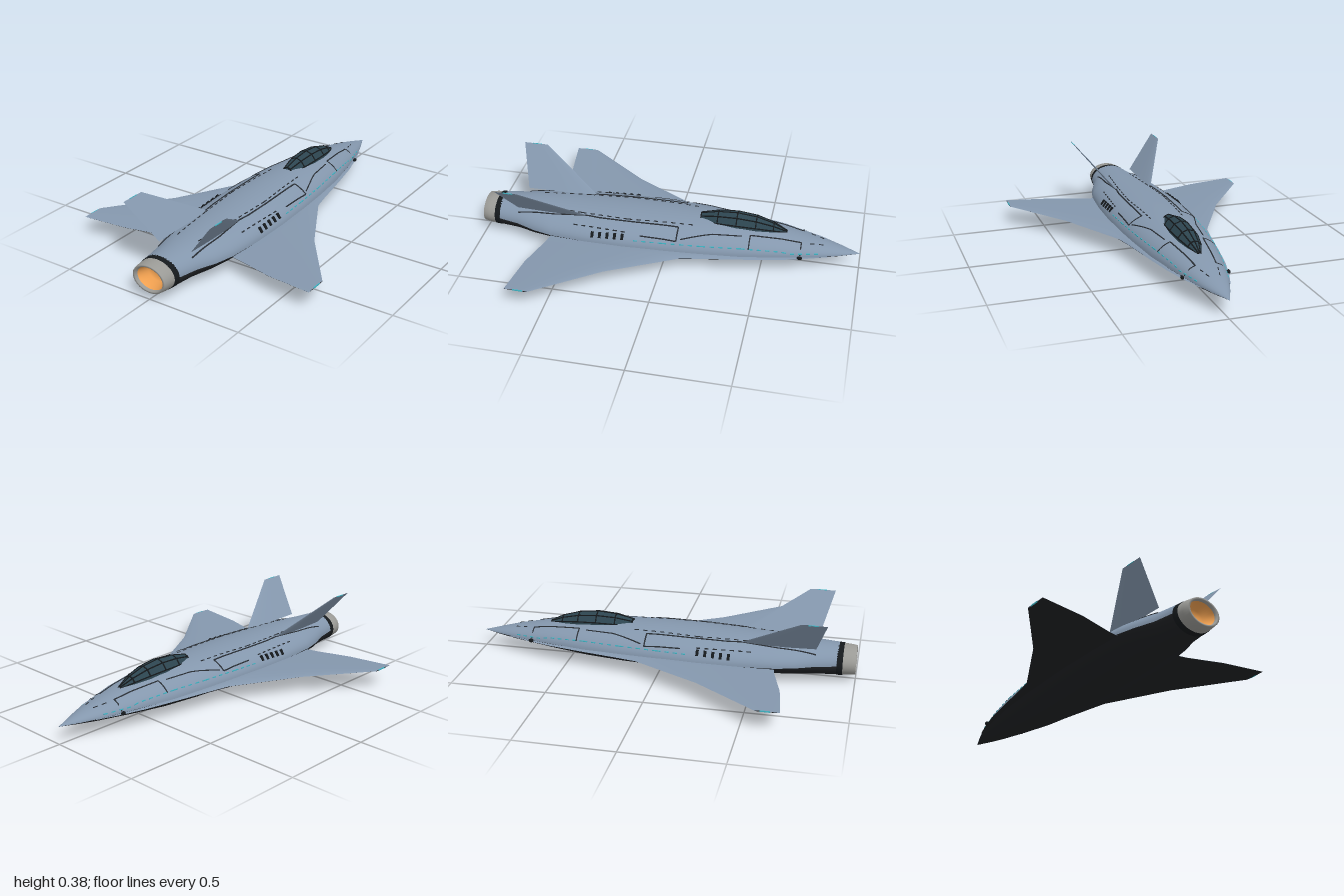
import * as THREE from 'three';
import { mergeGeometries } from 'three/addons/utils/BufferGeometryUtils.js';

const mat = (color, extra = {}) => {
  const m = new THREE.MeshStandardMaterial({ color, side: THREE.DoubleSide });
  return Object.assign(m, extra);
};
const skin = mat(0x8497ad), belly = mat(0x1f2124), dark = mat(0x2a2f35), glass = mat(0x2c444f, { flatShading: true });
const frameMat = mat(0x15191c), cyan = mat(0x3fb4c4), metal = mat(0x9a9a96), glow = mat(0xf0a050);

// Fuselage stations: z, half width, top y, chine y, bottom y, belly sharpness
const stations = [
  [-1, 0, 0.09, 0.09, 0.09, 1.5],
  [-0.9, 0.043, 0.116, 0.092, 0.077, 1.5],
  [-0.8, 0.08, 0.14, 0.095, 0.063, 1.6],
  [-0.6, 0.132, 0.178, 0.1, 0.037, 1.7],
  [-0.4, 0.17, 0.2, 0.1, 0.015, 1.7],
  [-0.2, 0.195, 0.212, 0.1, 0.004, 1.7],
  [0, 0.21, 0.215, 0.1, 0, 1.7],
  [0.2, 0.215, 0.212, 0.1, 0.002, 1.7],
  [0.4, 0.207, 0.205, 0.1, 0.008, 1.7],
  [0.6, 0.19, 0.199, 0.1, 0.016, 1.6],
  [0.7, 0.165, 0.195, 0.1, 0.02, 1.4],
  [0.8, 0.127, 0.19, 0.102, 0.025, 1.2],
  [0.91, 0.106, 0.185, 0.105, 0.028, 1],
];

function sectionAt(z) {
  let i = 0;
  while (i < stations.length - 2 && stations[i + 1][0] < z) i++;
  const a = stations[i], b = stations[i + 1];
  const t = THREE.MathUtils.clamp((z - a[0]) / (b[0] - a[0]), 0, 1);
  return a.map((v, k) => v + (b[k] - v) * t);
}

// Point on the upper skin above (x, z)
function onSkin(x, z) {
  const [, w, top, mid] = sectionAt(z);
  const k = Math.min(Math.abs(x) / w, 1);
  return new THREE.Vector3(x, mid + (top - mid) * Math.sqrt(1 - k * k), z);
}

// Surface through rows of [x, y, z] points
function loft(rows) {
  const n = rows[0].length, index = [];
  for (let i = 0; i < rows.length - 1; i++) {
    for (let j = 0; j < n - 1; j++) {
      const a = i * n + j, c = a + n;
      index.push(a, a + 1, c, a + 1, c + 1, c);
    }
  }
  const g = new THREE.BufferGeometry();
  g.setAttribute('position', new THREE.Float32BufferAttribute(rows.flat(2), 3));
  g.setIndex(index);
  g.computeVertexNormals();
  return g;
}

function add(parent, name, geometry, material) {
  const m = new THREE.Mesh(geometry, material);
  m.name = name;
  parent.add(m);
  return m;
}

function fuselageHalf(upper) {
  const N = 28;
  return loft(stations.map(([z, w, top, mid, bottom, p]) =>
    Array.from({ length: N + 1 }, (_, j) => {
      const t = (j / N) * Math.PI, s = Math.max(Math.sin(t), 0);
      return upper
        ? [w * Math.cos(t), mid + (top - mid) * s, z]
        : [-w * Math.cos(t), mid - (mid - bottom) * s ** p, z];
    })));
}

// One face of a wing or fin; span rows are [x, y, front z, back z, half thickness]
function bladeFace(span, normal, side) {
  const profile = [[0, 0], [0.04, 0.45], [0.15, 0.85], [0.35, 1], [0.7, 0.6], [1, 0.05]];
  return loft(span.map(([x, y, z0, z1, h]) => {
    const row = profile.map(([t, k]) =>
      [x + normal[0] * h * k * side, y + normal[1] * h * k * side, z0 + (z1 - z0) * t]);
    return side > 0 ? row : row.reverse();
  }));
}

// Bar between two points
function bar(a, b, width, height) {
  const g = new THREE.BoxGeometry(width, height, a.distanceTo(b));
  const up = new THREE.Vector3(0, 1, 0);
  g.applyMatrix4(new THREE.Matrix4().lookAt(b, a, up));
  const c = a.clone().lerp(b, 0.5);
  return g.translate(c.x, c.y, c.z);
}

// Seam following the skin through [x, z] points, optionally dashed
function seam(path, width, dashed = false) {
  const bars = [];
  for (let i = 0; i < path.length - 1; i++) {
    const [x0, z0] = path[i], [x1, z1] = path[i + 1];
    const n = Math.max(2, Math.round(Math.hypot(x1 - x0, z1 - z0) / 0.022));
    const at = (t) => onSkin(x0 + (x1 - x0) * t, z0 + (z1 - z0) * t);
    for (let k = 0; k < n; k++) {
      if (!dashed || k % 2 === 0) bars.push(bar(at(k / n), at((k + 1) / n), width, 0.005));
    }
  }
  return mergeGeometries(bars);
}

// Wing, fin and skin details of one side
function buildSide(name) {
  const g = new THREE.Group();
  g.name = name;

  // Wing blended into the forward chine
  const wing = [
    [0.07, 0.094, -0.84, 0.6, 0.006], [0.115, 0.094, -0.71, 0.6, 0.009],
    [0.15, 0.094, -0.58, 0.6, 0.011], [0.185, 0.094, -0.4, 0.6, 0.013],
    [0.22, 0.094, -0.2, 0.606, 0.014], [0.24, 0.094, -0.1, 0.61, 0.014],
    [0.43, 0.099, 0.25, 0.66, 0.008], [0.67, 0.105, 0.57, 0.69, 0.003],
  ];
  add(g, 'wingUpper', bladeFace(wing, [0, 1], 1), skin);
  add(g, 'wingLower', bladeFace(wing, [0, 1], -1), belly);
  add(g, 'wingTipLight', new THREE.BoxGeometry(0.004, 0.006, 0.05).translate(0.669, 0.105, 0.62), cyan);

  // Canted tail fin
  const fin = [[0.095, 0.185, 0.41, 0.8, 0.006], [0.25, 0.375, 0.73, 0.86, 0.002]];
  for (const s of [1, -1]) add(g, s > 0 ? 'finInner' : 'finOuter', bladeFace(fin, [-0.77, 0.63], s), skin);
  add(g, 'finTipLight', new THREE.BoxGeometry(0.004, 0.004, 0.05).translate(0.249, 0.374, 0.79), cyan);

  // Panel seams
  const seams = [
    seam([[0.105, -0.7], [0.052, -0.7], [0.085, -0.44], [0.15, -0.44]], 0.006),
    seam([[0.18, -0.07], [0.11, -0.07], [0.113, 0.2], [0.108, 0.35], [0.1, 0.42]], 0.007),
    seam([[0.18, -0.07], [0.18, 0.12]], 0.005),
    seam([[0.1, -0.4], [0.12, -0.25], [0.17, -0.09]], 0.005),
    seam([[0.1, 0.42], [0.11, 0.6], [0.1, 0.8]], 0.006),
    seam([[0.027, -0.81], [0.05, -0.72]], 0.004, true),
    seam([[0.085, -0.14], [0.1, 0.2], [0.085, 0.45], [0.062, 0.7]], 0.005, true),
    seam([[0.172, 0.2], [0.155, 0.5]], 0.005, true),
  ];
  add(g, 'panelSeams', mergeGeometries(seams), dark);
  add(g, 'lightStrip',
    seam([[0.2, 0.15], [0.195, 0], [0.18, -0.2], [0.155, -0.4], [0.115, -0.65], [0.078, -0.79]], 0.004, true), cyan);

  // Side vents
  const vents = [0.21, 0.25, 0.29, 0.33, 0.37].map((z) => {
    const p = onSkin(0.192, z);
    return new THREE.BoxGeometry(0.012, 0.032, 0.014).rotateZ(0.6).translate(p.x, p.y, z);
  });
  add(g, 'sideVents', mergeGeometries(vents), frameMat);

  // Nose sensor
  add(g, 'noseSensor', new THREE.SphereGeometry(0.01, 12, 8).scale(0.8, 1, 1.4).translate(0.117, 0.1, -0.7), frameMat);
  return g;
}

function buildCanopy() {
  const g = new THREE.Group();
  g.name = 'canopy';
  const N = 6, base = 0.165;
  const rows = [
    [-0.62, 0.008, 0.178], [-0.55, 0.036, 0.214], [-0.46, 0.055, 0.241], [-0.36, 0.062, 0.252],
    [-0.26, 0.055, 0.246], [-0.17, 0.034, 0.226], [-0.168, 0.001, 0.17],
  ].map(([z, w, top]) => Array.from({ length: N + 1 }, (_, j) => {
    const t = (j / N) * Math.PI;
    return [w * Math.cos(t) * (1 + 0.12 * Math.sin(2 * t) ** 2), base + (top - base) * Math.sin(t), z];
  }));
  add(g, 'canopyGlass', loft(rows), glass);

  // Frame bars along and across the glass
  const v = (i, j) => new THREE.Vector3(...rows[i][j]);
  const bars = [];
  for (let i = 0; i < 6; i++) {
    for (let j = 1; j < N; j++) {
      if (i < 5) bars.push(bar(v(i, j), v(i + 1, j), 0.005, 0.005));
      if (i > 0 && j < N - 1) bars.push(bar(v(i, j), v(i, j + 1), 0.006, 0.006));
    }
  }
  add(g, 'canopyFrame', mergeGeometries(bars), frameMat);
  return g;
}

// Oval exhaust parts turned around z; points are [radius, z]
function exhaustPart(points) {
  return new THREE.LatheGeometry(points.map(([r, z]) => new THREE.Vector2(r, z)), 40)
    .rotateX(Math.PI / 2).scale(1, 0.75, 1).translate(0, 0.105, 0);
}

export function createModel() {
  const model = new THREE.Group();
  model.name = 'jet';
  add(model, 'fuselageUpper', fuselageHalf(true), skin);
  add(model, 'fuselageBelly', fuselageHalf(false), belly);
  model.add(buildCanopy());

  const left = buildSide('leftSide'), right = buildSide('rightSide');
  right.scale.x = -1;
  model.add(left, right);

  // Engine exhaust
  add(model, 'exhaustCollar', exhaustPart([[0.1, 0.9], [0.107, 0.905], [0.105, 0.935], [0.098, 0.935]]), frameMat);
  add(model, 'nozzle', exhaustPart([[0.102, 0.93], [0.1, 0.965], [0.094, 1], [0.082, 1], [0.078, 0.985]]), metal);
  add(model, 'exhaustGlow', exhaustPart([[0.078, 0.985], [0.055, 0.93], [0, 0.93]]), glow);
  return model;
}
